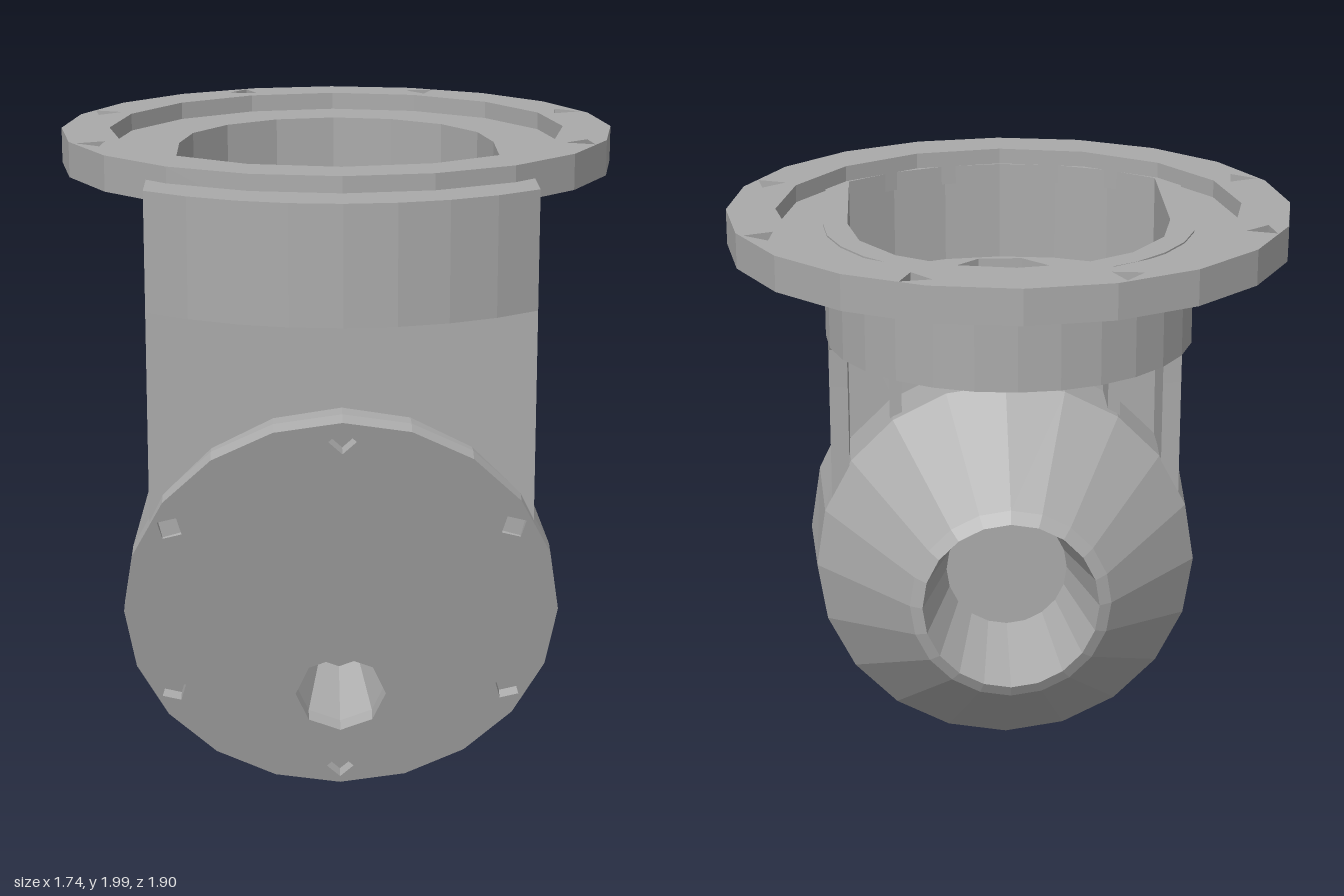
import * as THREE from 'three';

const CZ = -0.08; // z of the flange axis
const TILT = 0.262; // lean of the front cover

// closed polygon of n points around (x, y)
function ring(x, y, r, n, start = 0) {
  return Array.from({ length: n }, (_, i) => {
    const a = start + (i / n) * Math.PI * 2;
    return new THREE.Vector2(x + r * Math.cos(a), y + r * Math.sin(a));
  });
}

// points along an arc, ends included
function arc(x, y, r, a0, a1, n) {
  return Array.from({ length: n + 1 }, (_, i) => {
    const a = a0 + ((a1 - a0) * i) / n;
    return new THREE.Vector2(x + r * Math.cos(a), y + r * Math.sin(a));
  });
}

function plate(outline, holes, depth) {
  const shape = new THREE.Shape(outline);
  shape.holes = holes.map((h) => new THREE.Path(h));
  return new THREE.ExtrudeGeometry(shape, { depth, bevelEnabled: false });
}

// outline in (x, z), extruded down from top to bottom
function slab(outline, holes, top, bottom) {
  return plate(outline, holes, top - bottom).rotateX(Math.PI / 2).translate(0, top, 0);
}

// flat-shaded skin over rings of [centre y, centre z, radius, tilt]
function loft(rings, n) {
  const pos = [];
  const point = ([cy, cz, r, t = 0], j) => {
    const a = (j / n) * Math.PI * 2;
    const s = r * Math.sin(a);
    return [r * Math.cos(a), cy + s * Math.cos(t), cz + s * Math.sin(t)];
  };
  for (let i = 0; i < rings.length - 1; i++) {
    for (let j = 0; j < n; j++) {
      const a = point(rings[i], j), b = point(rings[i], j + 1);
      const c = point(rings[i + 1], j), d = point(rings[i + 1], j + 1);
      if (rings[i][2] > 0) pos.push(...a, ...c, ...b);
      if (rings[i + 1][2] > 0) pos.push(...b, ...c, ...d);
    }
  }
  const geo = new THREE.BufferGeometry();
  geo.setAttribute('position', new THREE.Float32BufferAttribute(pos, 3));
  geo.computeVertexNormals();
  return geo;
}

export function createModel() {
  const model = new THREE.Group();
  const grey = new THREE.MeshStandardMaterial({ color: 0xaaaaaa });
  const add = (name, geo, parent = model) => {
    const mesh = new THREE.Mesh(geo, grey);
    mesh.name = name;
    parent.add(mesh);
    return mesh;
  };
  const deg = Math.PI / 180;

  // mounting flange with six bolt holes
  const bolts = [-68, -22, 22, 158, 202, 248].map((d) =>
    ring(0.81 * Math.cos(d * deg), CZ + 0.81 * Math.sin(d * deg), 0.055, 3, d * deg + 0.5));
  add('flange', slab(ring(0, CZ, 0.872, 20, Math.PI / 2), [ring(0, CZ, 0.72, 16), ...bolts], 2, 1.89));

  // recessed floor and the U-shaped pocket sunk into it
  const end = Math.acos(0.5 / 0.71);
  const pocket = [
    ...arc(0, CZ, 0.5, Math.PI, Math.PI * 2, 8),
    ...arc(0, CZ, 0.71, end, Math.PI - end, 6),
  ];
  add('flangeFloor', slab(ring(0, CZ, 0.75, 20, Math.PI / 2), [pocket], 1.945, 1.89));

  // cup: round back, straight sides, bowed front
  const bow = Math.asin(0.575 / 0.89);
  const cup = [
    ...arc(0, CZ, 0.575, Math.PI, Math.PI * 2, 14),
    ...arc(0, 0.06, 0.89, Math.PI / 2 - bow, Math.PI / 2 + bow, 8),
  ];
  const duct = ring(0, 0.43, 0.19, 8, Math.PI / 8);
  add('cupWall', slab(cup, [pocket], 1.95, 1.63));
  add('cupFloor', slab(cup, [duct], 1.63, 1.59));

  // arm core with a round duct bulging from its back
  const core = [
    new THREE.Vector2(-0.55, 0.74), new THREE.Vector2(-0.55, 0.43),
    ...arc(0, 0.43, 0.23, Math.PI, Math.PI * 2, 8),
    new THREE.Vector2(0.55, 0.43), new THREE.Vector2(0.55, 0.74),
  ];
  add('armCore', slab(core, [duct], 1.59, 0.9));
  add('ductFloor', slab(ring(0, 0.43, 0.2, 8, Math.PI / 8), [], 1.36, 1.33));

  // arm side walls with a fillet under the cup, and inner ribs
  const wall = [
    [0.74, 1.6], [0.74, 0.9], [0.18, 0.9], [0.17, 1.33], [0.165, 1.46],
    [0.13, 1.53], [0.06, 1.58], [0, 1.6],
  ].map(([z, y]) => new THREE.Vector2(-z, y));
  for (const side of [-1, 1]) {
    const geo = plate(wall, [], 0.06).translate(0, 0, -0.03).rotateY(Math.PI / 2);
    add('armSide', geo.translate(side * 0.545, 0, 0));
    const rib = new THREE.BoxGeometry(0.04, 0.69, 0.22);
    add('armRib', rib.translate(side * 0.36, 1.245, 0.33));
  }

  // rounded housing tapering back into an open socket
  add('housing', loft([
    [0.658, 0.632, 0.66, TILT],
    [0.7, 0.18, 0.63],
    [0.71, -0.2, 0.325],
    [0.71, -0.222, 0.285],
    [0.71, 0.1, 0.2],
    [0.71, 0.1, 0],
  ], 20));

  // leaning front cover with screw holes and an outlet
  const cover = new THREE.Group();
  cover.name = 'frontCover';
  cover.position.set(0, 0.658, 0.632);
  cover.rotation.x = TILT;
  model.add(cover);
  const outlet = ring(0, -0.315, 0.14, 8);
  const screws = Array.from({ length: 6 }, (_, i) => {
    const a = (30 + i * 60) * deg;
    return ring(0.595 * Math.cos(a), 0.595 * Math.sin(a), 0.042, 4, a);
  });
  const disc = ring(0, 0, 0.66, 20);
  add('coverPlate', plate(disc, [outlet, ...screws], 0.04).translate(0, 0, 0.01), cover);
  add('coverBacking', plate(disc, [outlet], 0.01), cover);
  add('outletRecess', loft([
    [-0.315, -0.22, 0],
    [-0.315, -0.22, 0.09],
    [-0.315, 0, 0.14],
  ], 8), cover);

  return model;
}
